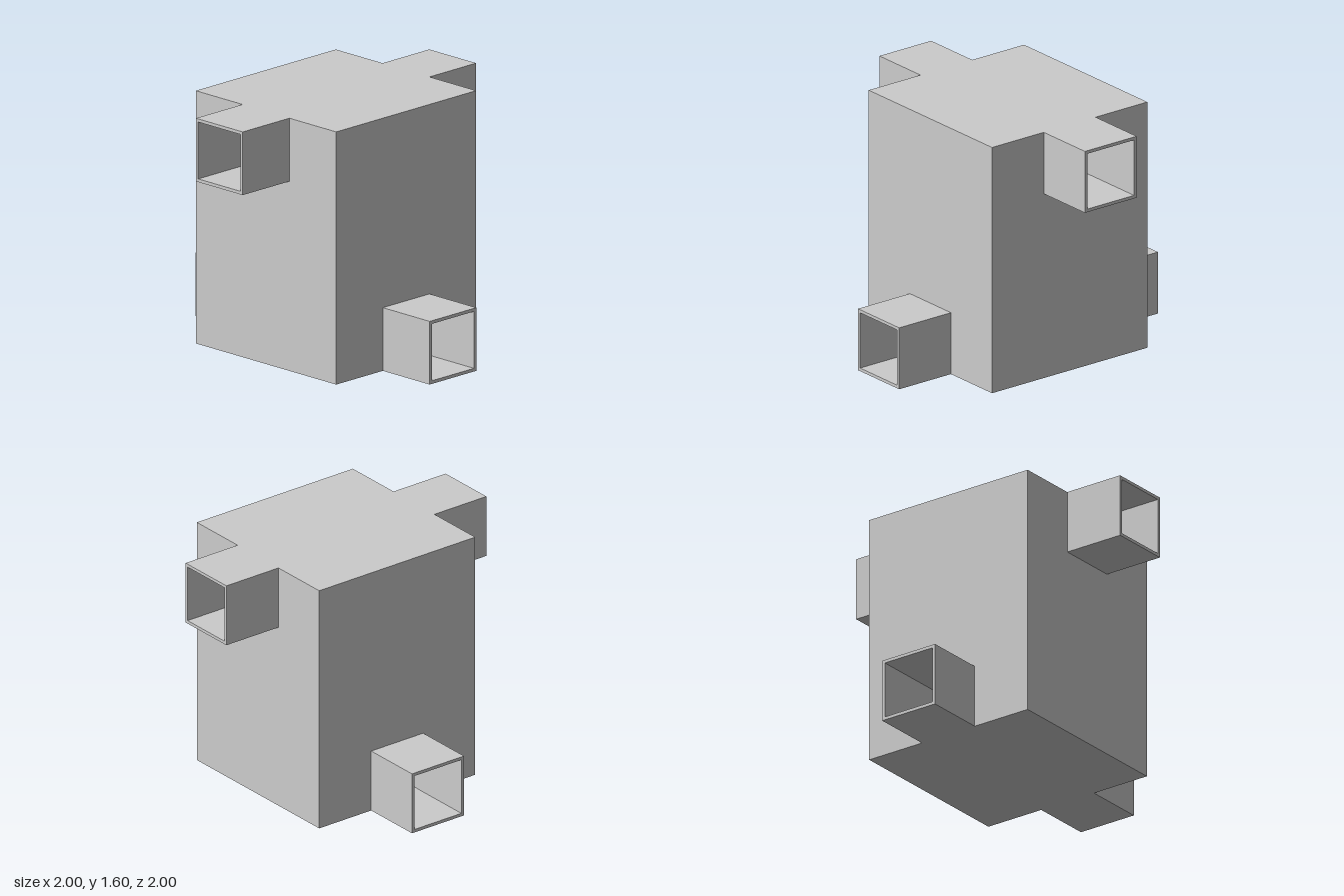
import * as THREE from 'three';

const grey = new THREE.MeshStandardMaterial({ color: 0xcccccc, flatShading: true });
const greyBoth = new THREE.MeshStandardMaterial({ color: 0xcccccc, flatShading: true, side: THREE.DoubleSide });

const W = 0.6;    // half width of the body
const H = 0.8;    // half height of the body
const D = 0.2;    // half width of a duct
const R = 1;      // reach of a duct from the centre
const BORE = 0.18; // half width of a duct opening

function outline(points) {
  return new THREE.Shape(points.map(([x, y]) => new THREE.Vector2(x, y)));
}

function add(parent, name, geometry, material = grey) {
  const mesh = new THREE.Mesh(geometry, material);
  mesh.name = name;
  parent.add(mesh);
  return mesh;
}

// One body wall with the square duct standing out of its upper edge
function createDuctWall() {
  const group = new THREE.Group();
  group.name = 'ductWall';
  const low = H - 2 * D;

  const wall = outline([[-W, -H], [W, -H], [W, H], [D, H], [D, low], [-D, low], [-D, H], [-W, H]]);
  add(group, 'bodyWall', new THREE.ShapeGeometry(wall).translate(0, 0, W));

  const size = 2 * D, length = R - W, mid = (R + W) / 2;
  for (const s of [-1, 1]) {
    add(group, 'ductSide', new THREE.PlaneGeometry(length, size)
      .rotateY(s * Math.PI / 2).translate(s * D, H - D, mid));
  }
  add(group, 'ductInnerFace', new THREE.PlaneGeometry(size, length)
    .rotateX(Math.PI / 2).translate(0, low, mid));

  // Thin rim around the opening
  const rim = outline([[-D, -D], [D, -D], [D, D], [-D, D]]);
  rim.holes.push(outline([[-BORE, -BORE], [-BORE, BORE], [BORE, BORE], [BORE, -BORE]]));
  add(group, 'ductRim', new THREE.ShapeGeometry(rim).translate(0, H - D, R));
  return group;
}

// End plate, a pair of opposite duct walls and the passage between them
function createHalf(name) {
  const group = new THREE.Group();
  group.name = name;

  const plate = outline([
    [-W, -W], [-D, -W], [-D, -R], [D, -R], [D, -W], [W, -W],
    [W, W], [D, W], [D, R], [-D, R], [-D, W], [-W, W],
  ]);
  add(group, 'endPlate', new THREE.ShapeGeometry(plate).rotateX(-Math.PI / 2).translate(0, H, 0));

  for (const angle of [0, Math.PI]) {
    const wall = createDuctWall();
    wall.rotation.y = angle;
    group.add(wall);
  }

  const r = BORE * Math.SQRT2;
  add(group, 'passage', new THREE.CylinderGeometry(r, r, 2 * R, 4, 1, true)
    .rotateY(Math.PI / 4).rotateX(Math.PI / 2).translate(0, H - D, 0), greyBoth);
  return group;
}

export function createModel() {
  const model = new THREE.Group();
  model.name = 'ductedBlock';

  const upper = createHalf('upperDucts');
  upper.position.y = H;

  // The lower pair is the upper one turned over and swung a quarter turn
  const lower = createHalf('lowerDucts');
  lower.position.y = H;
  lower.rotation.set(0, Math.PI / 2, Math.PI);
  model.add(upper, lower);

  // Shallow rise in the floor of the lower passage
  const rise = outline([[-W, 0.02], [W, 0.02], [0, 0.04]]);
  add(model, 'passageFloorRise', new THREE.ExtrudeGeometry(rise, { depth: 2 * BORE, bevelEnabled: false })
    .translate(0, 0, -BORE));
  return model;
}
